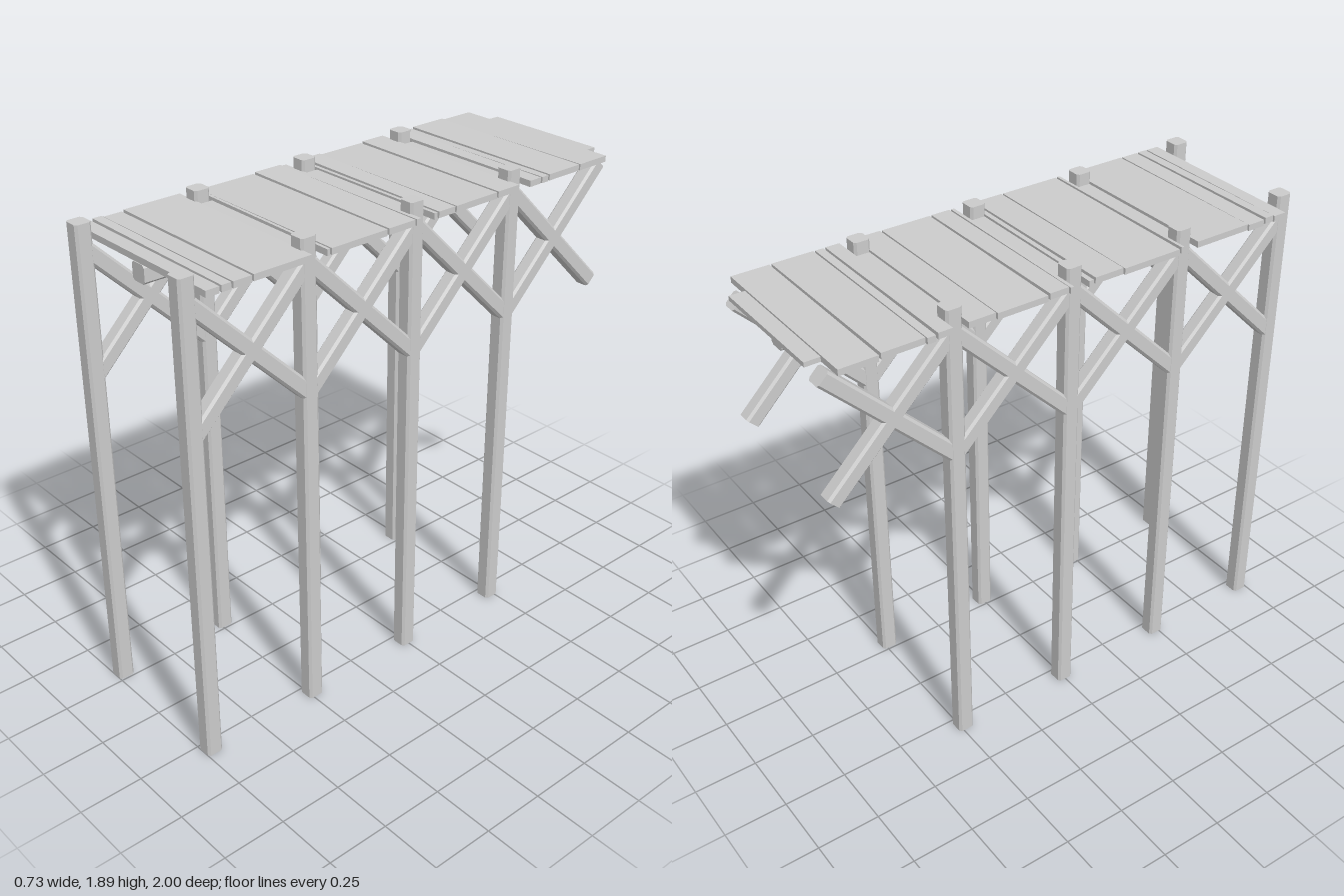
import * as THREE from 'three';

const material = new THREE.MeshStandardMaterial({ color: 0xcccccc, flatShading: true });
const THICK = 0.064;
const POST_X = 0.29;
const POST_Z = [0.968, 0.485, 0, -0.485];
const BAY = 0.485;

// Square timber with chamfered long edges, centred, running along z
function timber(length, size = THICK, chamfer = 0.009) {
  const h = size / 2, c = h - chamfer;
  const corners = [[h, -c], [h, c], [c, h], [-c, h], [-h, c], [-h, -c], [-c, -h], [c, -h]];
  const shape = new THREE.Shape(corners.map(([x, y]) => new THREE.Vector2(x, y)));
  const geometry = new THREE.ExtrudeGeometry(shape, { depth: length, bevelEnabled: false });
  return geometry.translate(0, 0, -length / 2);
}

function add(group, name, geometry, x, y, z, rx = 0, rz = 0) {
  const mesh = new THREE.Mesh(geometry, material);
  mesh.name = name;
  mesh.position.set(x, y, z);
  mesh.rotation.set(rx, 0, rz);
  group.add(mesh);
}

export function createModel() {
  const model = new THREE.Group();
  model.name = 'pier';

  // Posts and crossed braces on both sides
  const postHeight = 1.895;
  const postGeometry = timber(postHeight).rotateX(Math.PI / 2);
  const braceGeometry = timber(0.685, 0.062);
  for (const side of [1, -1]) {
    const frame = new THREE.Group();
    frame.name = side > 0 ? 'leftFrame' : 'rightFrame';
    for (const z of POST_Z) {
      add(frame, 'post', postGeometry, side * POST_X, postHeight / 2, z);
      for (const tilt of [1, -1]) {
        add(frame, 'brace', braceGeometry, side * POST_X, 1.562, z - BAY / 2, tilt * Math.PI / 4);
      }
    }
    model.add(frame);
  }

  // Central beam under the deck
  add(model, 'centreBeam', timber(1.9, 0.068), 0, 1.795, -0.015);

  // Deck bays: plank edges along z in each bay
  const bays = [
    [-0.94, -0.79, -0.62, -0.58, -0.52],
    [-0.46, -0.35, -0.14, -0.055, -0.037],
    [0.027, 0.05, 0.178, 0.43, 0.446],
    [0.51, 0.75, 0.83, 0.875, 0.932],
  ];
  const deck = new THREE.Group();
  deck.name = 'deck';
  bays.forEach((edges, bay) => {
    for (let i = 0; i < edges.length - 1; i++) {
      const start = edges[i] + (i ? 0.004 : 0);
      const end = edges[i + 1] - (i < edges.length - 2 ? 0.004 : 0);
      const odd = (i + bay) % 2;
      const plank = new THREE.BoxGeometry(0.728, 0.024, end - start);
      add(deck, 'plank', plank, 0, odd ? 1.844 : 1.841, (start + end) / 2, 0, odd ? -0.004 : 0.002);
    }
    // Short plank fitted between the posts behind each bay
    const z = bay ? (bays[bay - 1][4] + edges[0]) / 2 : -0.97;
    add(deck, 'shortPlank', new THREE.BoxGeometry(0.516, 0.018, 0.06), 0, 1.837, z);
  });
  model.add(deck);

  return model;
}
